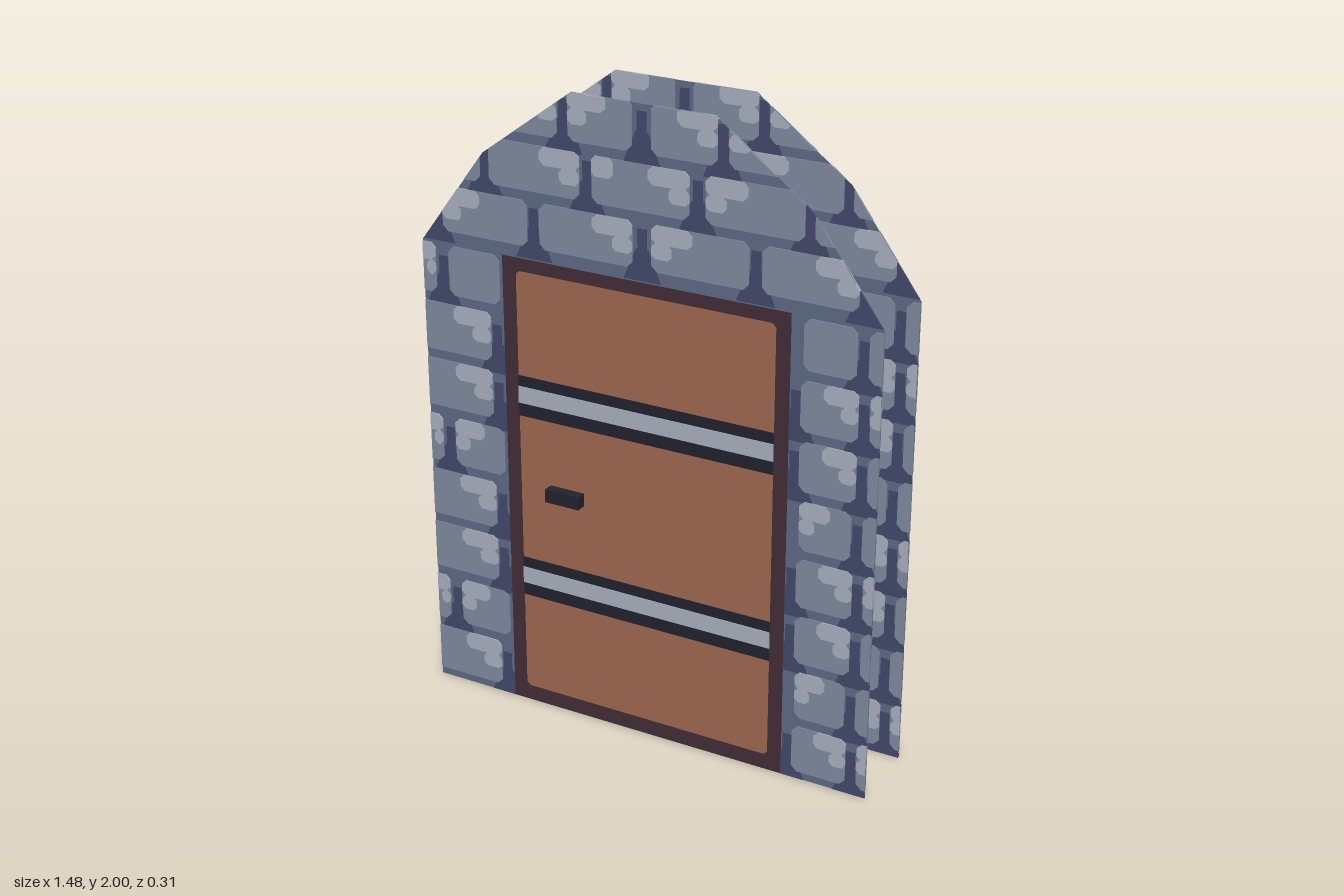
import * as THREE from 'three';

const mat = (name, color) => new THREE.MeshStandardMaterial({ name, color });
const rect = (x0, y0, x1, y1) => [[x0, y0], [x1, y0], [x1, y1], [x0, y1]];
const toShape = (pts) => new THREE.Shape(pts.map(([x, y]) => new THREE.Vector2(x, y)));

// Rectangle with cut corners
const stone = (x0, y0, x1, y1, c) => [
  [x0 + c, y0], [x1 - c, y0], [x1, y0 + c], [x1, y1 - c],
  [x1 - c, y1], [x0 + c, y1], [x0, y1 - c], [x0, y0 + c],
];

// Clip a convex polygon to a convex counter-clockwise region
function clip(poly, region) {
  let out = poly;
  region.forEach((a, i) => {
    const b = region[(i + 1) % region.length];
    const side = (p) => (b[0] - a[0]) * (p[1] - a[1]) - (b[1] - a[1]) * (p[0] - a[0]);
    const next = [];
    out.forEach((p, j) => {
      const q = out[(j + 1) % out.length], sp = side(p), sq = side(q);
      if (sp >= 0) next.push(p);
      if ((sp > 0 && sq < 0) || (sp < 0 && sq > 0)) {
        const t = sp / (sp - sq);
        next.push([p[0] + (q[0] - p[0]) * t, p[1] + (q[1] - p[1]) * t]);
      }
    });
    out = next;
  });
  return out;
}

const W = 0.74, DW = 0.465, DH = 1.48;
const ARCH = [[-W, DH], [W, DH], [0.52, 1.78], [0.225, 2], [-0.225, 2], [-0.52, 1.78]];
const LEFT = rect(DW, 0, W, DH), RIGHT = rect(-W, 0, -DW, DH);

// Lists of painted shapes for the masonry: shadows, stones and highlights
function masonry() {
  const paint = { shadow: [], stone: [], highlight: [] };
  const add = (layer, poly, region) => {
    const p = clip(poly, region);
    if (p.length > 2) paint[layer].push(toShape(p));
  };
  // lit: -1 for a highlight in the left top corner, 1 for the right, 0 for none
  const brick = (x0, y0, x1, y1, lit, region) => {
    add('stone', stone(x0, y0, x1, y1, 0.018), region);
    if (!lit) return;
    const w = Math.min(0.13, (x1 - x0) * 0.6);
    const [a, b] = lit < 0 ? [x0, x0 + w] : [x1 - w, x1];
    add('highlight', stone(a, y1 - 0.055, b, y1, 0.015), region);
    const [c, d] = lit < 0 ? [x0, x0 + w * 0.5] : [x1 - w * 0.5, x1];
    add('highlight', stone(c, y1 - 0.1, d, y1 - 0.054, 0.012), region);
  };
  const gap = (x, y, region) => {
    add('shadow', [[x - 0.06, y - 0.035], [x + 0.06, y - 0.035], [x + 0.02, y + 0.06], [x - 0.02, y + 0.06]], region);
    add('shadow', rect(x - 0.015, y + 0.06, x + 0.015, y + 0.12), region);
  };

  // Side walls: eight courses repeating every three
  for (let i = 0; i < 8; i++) {
    const y1 = DH - i * 0.185 - 0.005, y0 = y1 - 0.155;
    if (i % 3 === 0) {
      brick(-0.65, y0, -0.475, y1, i ? -1 : 0, RIGHT);
      brick(-0.8, y0, -0.695, y1, 1, RIGHT);
      brick(0.505, y0, 0.665, y1, i ? -1 : 0, LEFT);
      brick(0.7, y0, 0.8, y1, 0, LEFT);
      gap(-0.67, y0, RIGHT);
      gap(0.685, y0, LEFT);
    } else {
      brick(-0.8, y0, -0.51, y1, 1, RIGHT);
      brick(0.5, y0, 0.675, y1, 1, LEFT);
      brick(0.71, y0, 0.85, y1, i % 3 === 1 ? -1 : 0, LEFT);
      gap(-0.49, y0, RIGHT);
      gap(0.485, y0, LEFT);
      gap(0.69, y0, LEFT);
    }
  }

  // Arch: three courses, mirrored about the middle
  const courses = [
    [1.52, 1.66, [[0.03, 0.335, -1], [0.375, 0.665, 1], [0.7, 0.9, 0]], [0, 0.355, 0.685]],
    [1.69, 1.83, [[0.2, 0.5, -1], [0.53, 0.8, 0]], [0.175, 0.515]],
    [1.86, 2.01, [[0.03, 0.235, 1], [0.27, 0.5, -1]], [0, 0.25]],
  ];
  for (const [y0, y1, bricks, gaps] of courses) {
    for (const s of [-1, 1]) {
      for (const [a, b, lit] of bricks) {
        brick(Math.min(s * a, s * b), y0, Math.max(s * a, s * b), y1, s * lit, ARCH);
      }
      for (const x of gaps) if (x || s > 0) gap(s * x, y0, ARCH);
    }
  }
  // Stone in the middle of the second course
  brick(-0.16, 1.69, 0.15, 1.83, 1, ARCH);
  add('highlight', stone(-0.16, 1.77, -0.09, 1.83, 0.012), ARCH);
  return paint;
}

export function createModel() {
  const model = new THREE.Group();
  const mortar = mat('mortar', 0x5d6985);
  const shadow = mat('mortarShadow', 0x42476a);
  const stoneMat = mat('stone', 0x7f8a9f);
  const highlight = mat('stoneHighlight', 0xa7afbd);
  const wood = mat('wood', 0x9d6850);
  const trim = mat('darkTrim', 0x412d36);
  const iron = mat('iron', 0x20222d);
  const steel = mat('steel', 0xa8aebf);
  const FRONT = 0.118, BACK = -0.128;

  const add = (parent, name, geometry, material, x = 0, y = 0, z = 0) => {
    const mesh = new THREE.Mesh(geometry, material);
    mesh.name = name;
    mesh.position.set(x, y, z);
    parent.add(mesh);
    return mesh;
  };
  // Thin sheet centred on its plane, so that it shows on both sides
  const sheet = (parent, name, shapes, material, t) =>
    add(parent, name, new THREE.ExtrudeGeometry(shapes, { depth: t, bevelEnabled: false }), material, 0, 0, -t / 2);

  const wallShape = toShape([
    [-W, 0], [-DW, 0], [-DW, DH], [DW, DH], [DW, 0], [W, 0], ...ARCH.slice(1), [-W, DH],
  ]);
  const frameShape = toShape(rect(-DW, 0, DW, DH));
  frameShape.holes.push(toShape(stone(-0.42, 0.05, 0.42, 1.44, 0.012)));
  const paint = masonry();

  for (const [name, z] of [['front', FRONT], ['back', BACK]]) {
    const face = new THREE.Group();
    face.name = name + 'Face';
    face.position.z = z;
    model.add(face);

    // Stone wall with painted masonry
    sheet(face, 'wall', wallShape, mortar, 0.002);
    sheet(face, 'mortarShadows', paint.shadow, shadow, 0.005);
    sheet(face, 'stones', paint.stone, stoneMat, 0.008);
    sheet(face, 'stoneHighlights', paint.highlight, highlight, 0.011);

    // Door leaf, its frame and the two metal straps
    sheet(face, 'doorFrame', frameShape, trim, 0.004);
    sheet(face, 'doorLeaf', toShape(rect(-0.425, 0.045, 0.425, 1.445)), wood, 0.002);
    for (const y of [0.375, 0.98]) {
      sheet(face, 'strapEdge', toShape(rect(-0.42, y, 0.42, y + 0.13)), iron, 0.006);
      sheet(face, 'strap', toShape(rect(-0.42, y + 0.042, 0.42, y + 0.096)), steel, 0.01);
    }

    // Handle
    const d = 0.034;
    add(face, 'handle', new THREE.BoxGeometry(0.115, 0.042, d), iron, -0.26, 0.75, Math.sign(z) * d / 2);
  }

  // Boards joining both faces, open below
  const depth = FRONT - BACK, mid = (FRONT + BACK) / 2;
  for (const s of [-1, 1]) {
    add(model, 'sideBoard', new THREE.PlaneGeometry(depth, DH), trim, s * DW, DH / 2, mid).rotation.y = s * Math.PI / 2;
  }
  add(model, 'topBoard', new THREE.PlaneGeometry(2 * DW, depth), trim, 0, DH, mid).rotation.x = -Math.PI / 2;
  return model;
}
